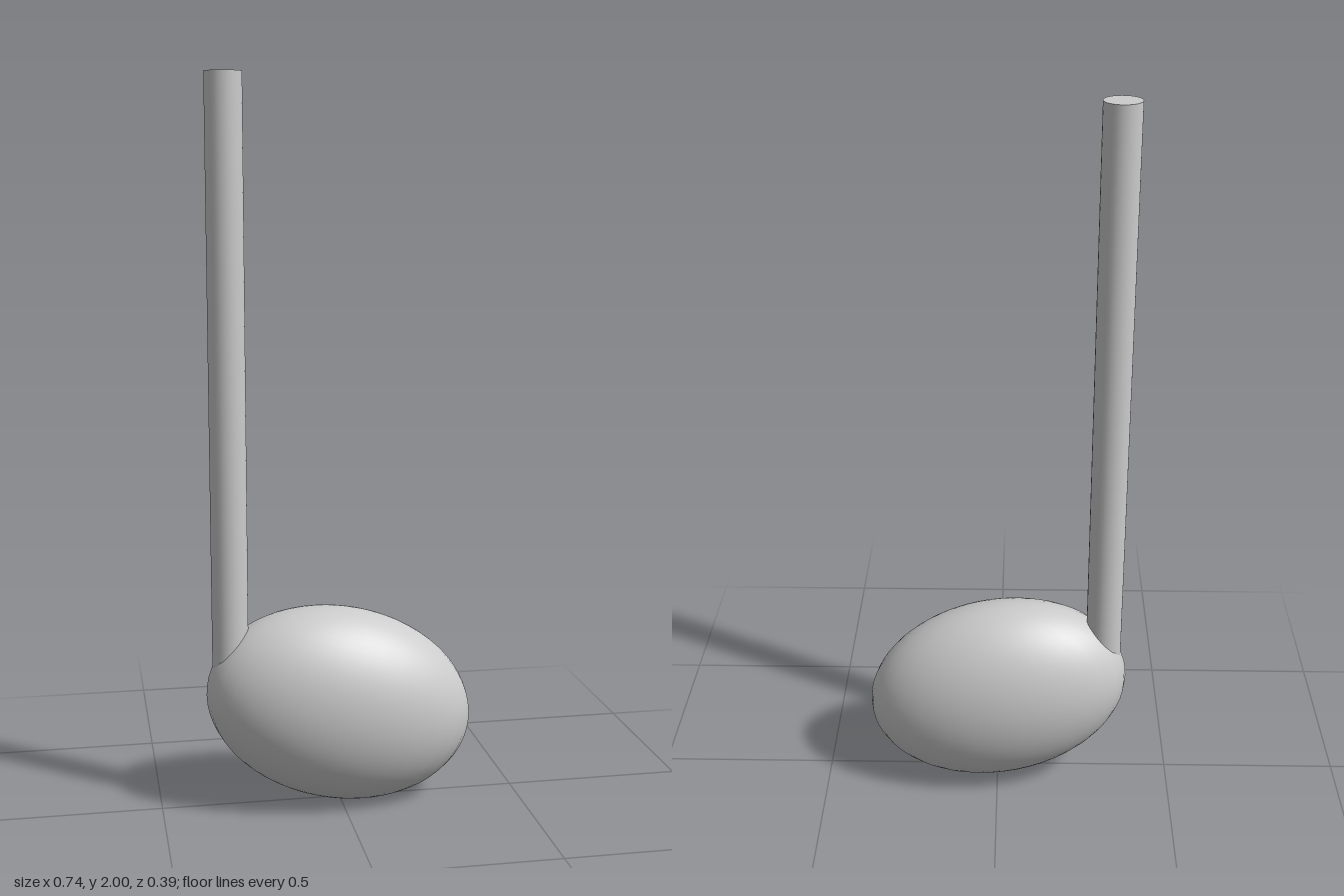
import * as THREE from 'three';

export function createModel() {
  const group = new THREE.Group();
  const material = new THREE.MeshStandardMaterial({ color: 0xcccccc });

  // Tilted ellipsoid head resting on the ground
  const head = new THREE.Mesh(new THREE.SphereGeometry(1, 32, 32), material);
  head.name = 'noteHead';
  head.scale.set(0.378, 0.272, 0.195);
  head.rotation.z = THREE.MathUtils.degToRad(-14.5);
  head.position.y = 0.281;
  group.add(head);

  // Upright stem, its foot buried in the head
  const bottom = 0.33, top = 2;
  const stem = new THREE.Mesh(new THREE.CylinderGeometry(0.05, 0.05, top - bottom, 32), material);
  stem.name = 'stem';
  stem.position.set(-0.305, (top + bottom) / 2, 0);
  group.add(stem);

  return group;
}
